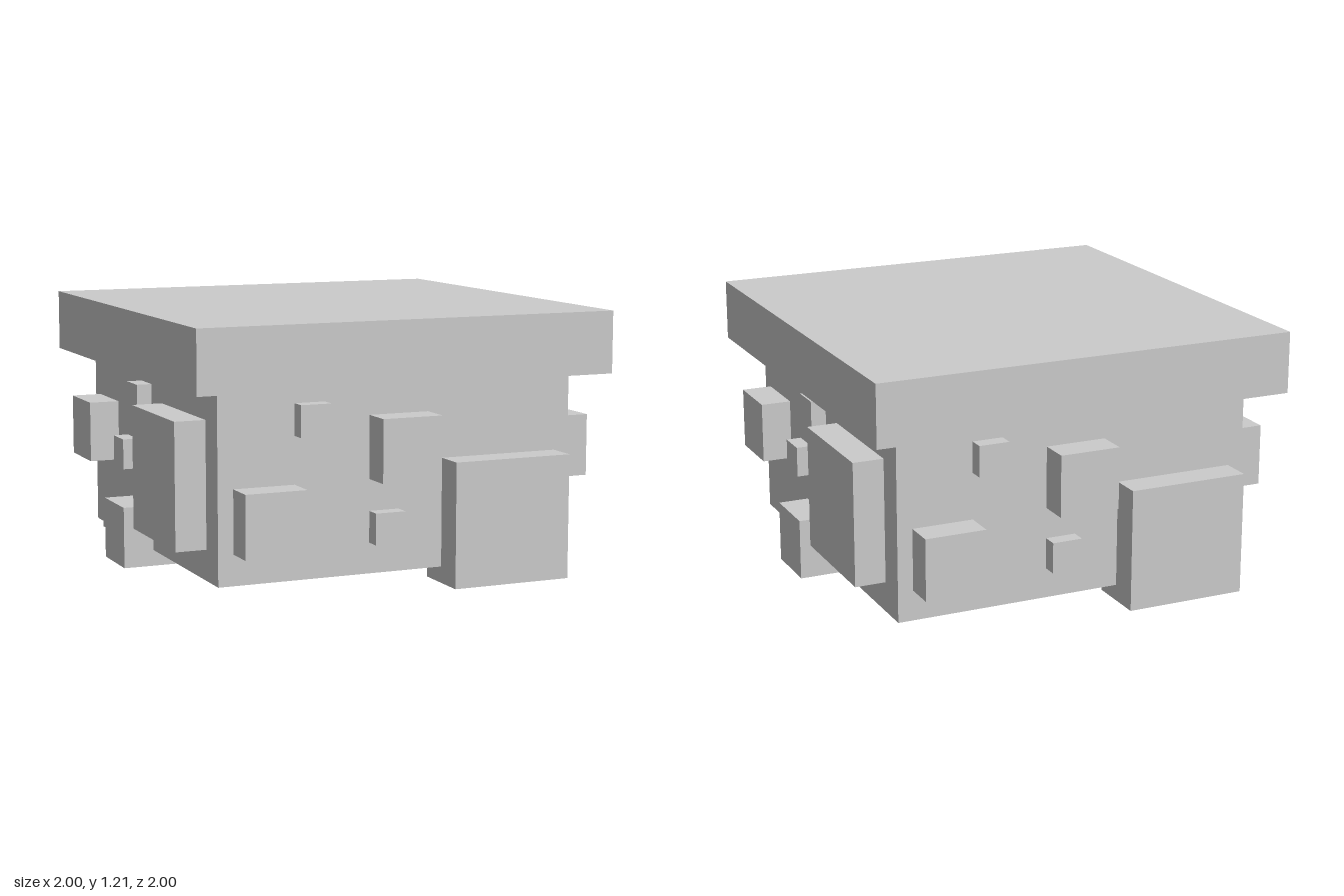
import * as THREE from 'three';

const material = new THREE.MeshStandardMaterial({ color: 0xcccccc, flatShading: true });
const U = 1 / 7; // grid unit
const FACE = 6 * U; // distance of each wall from the centre

function box(name, w, h, d, x, y, z) {
  const mesh = new THREE.Mesh(new THREE.BoxGeometry(w, h, d), material);
  mesh.name = name;
  mesh.position.set(x, y, z);
  return mesh;
}

// Stones half sunk into a wall: [left, bottom, size, depth] in grid units
const wallA = [
  [-3.5, 5, 1, 1],
  [-1, 3.5, 2, 2],
  [-5.5, 1.5, 2, 2],
  [-1, 1.5, 1, 1],
  [1.5, 0, 4, 2],
];
const wallB = [
  [-5.5, 3, 2, 2],
  [-2.5, 3, 1, 1],
  [-2, 0, 2, 2],
  [-1, 5, 1, 1],
  [1, 1.5, 4, 2],
];

function stoneWall(name, stones, angle) {
  const wall = new THREE.Group();
  wall.name = name;
  for (const [left, bottom, size, depth] of stones) {
    wall.add(box('stone', size * U, size * U, depth * U,
      (left + size / 2) * U, (bottom + size / 2) * U, FACE));
  }
  wall.rotation.y = angle;
  return wall;
}

export function createModel() {
  const model = new THREE.Group();
  model.name = 'stoneBlock';

  // Body and overhanging top slab
  const bottom = 0.075, top = 6.5 * U;
  model.add(box('body', 2 * FACE, top - bottom, 2 * FACE, 0, (top + bottom) / 2, 0));
  model.add(box('topSlab', 2, 2 * U, 2, 0, top + U, 0));

  // Two stone patterns alternate around the four walls
  ['frontStones', 'leftStones', 'backStones', 'rightStones'].forEach((name, i) => {
    model.add(stoneWall(name, i % 2 ? wallB : wallA, i * Math.PI / 2));
  });

  return model;
}
